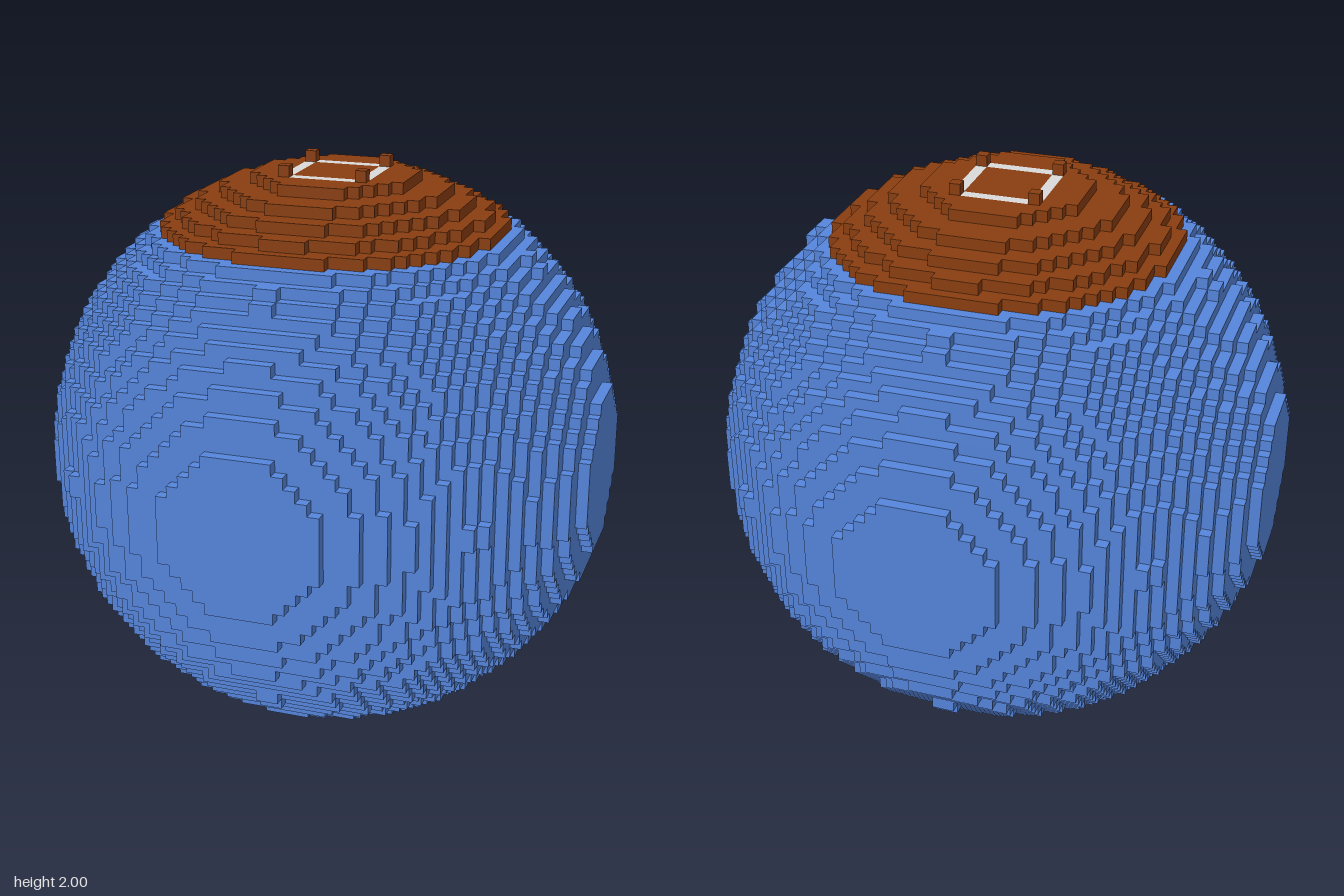
import * as THREE from 'three';

const N = 50;             // blocks across the ball
const S = 2 / (N + 1);    // block size (one extra layer for the pegs)
const R = 25.5;           // ball radius in blocks
const CAP_START = 45;     // first layer of the cap

// Which part occupies block (i, j, k); null where empty
function partAt(i, j, k) {
  const x = Math.abs(i + 0.5 - N / 2), y = j + 0.5 - N / 2, z = Math.abs(k + 0.5 - N / 2);
  if (j === N) return x === 3.5 && z === 3.5 ? 'cornerPegs' : null;
  if (j < 0 || j > N || x * x + y * y + z * z > R * R) return null;
  if (j === N - 1 && Math.max(x, z) === 3.5 && x !== z) return 'topRing';
  return j >= CAP_START ? 'cap' : 'ball';
}

// Adds the exposed side of a block along axis d, facing sign s
function addFace(out, block, d, s) {
  const u = (d + 1) % 3, v = (d + 2) % 3;
  const corners = [[0, 0], [1, 0], [1, 1], [0, 1]].map(([a, b]) => {
    const p = [...block];
    p[d] += s > 0 ? 1 : 0;
    p[u] += a;
    p[v] += b;
    return [(p[0] - N / 2) * S, p[1] * S, (p[2] - N / 2) * S];
  });
  const order = s > 0 ? [0, 1, 2, 0, 2, 3] : [0, 2, 1, 0, 3, 2];
  for (const c of order) out.push(...corners[c]);
}

export function createModel() {
  const blue = new THREE.MeshStandardMaterial({ color: 0x5585db });
  blue.name = 'blue';
  const brown = new THREE.MeshStandardMaterial({ color: 0x8a3e10 });
  brown.name = 'brown';
  const paleGrey = new THREE.MeshStandardMaterial({ color: 0xdadada });
  paleGrey.name = 'paleGrey';
  const materials = { ball: blue, cap: brown, topRing: paleGrey, cornerPegs: brown };

  // Collect the outer faces of every block by part
  const faces = { ball: [], cap: [], topRing: [], cornerPegs: [] };
  for (let i = 0; i < N; i++)
    for (let j = 0; j <= N; j++)
      for (let k = 0; k < N; k++) {
        const part = partAt(i, j, k);
        if (!part) continue;
        for (let d = 0; d < 3; d++)
          for (const s of [-1, 1]) {
            const next = [i, j, k];
            next[d] += s;
            if (!partAt(...next)) addFace(faces[part], [i, j, k], d, s);
          }
      }

  // One mesh per part
  const group = new THREE.Group();
  group.name = 'blockBall';
  for (const [name, positions] of Object.entries(faces)) {
    const geometry = new THREE.BufferGeometry();
    geometry.setAttribute('position', new THREE.Float32BufferAttribute(positions, 3));
    geometry.computeVertexNormals();
    const mesh = new THREE.Mesh(geometry, materials[name]);
    mesh.name = name;
    group.add(mesh);
  }
  return group;
}
